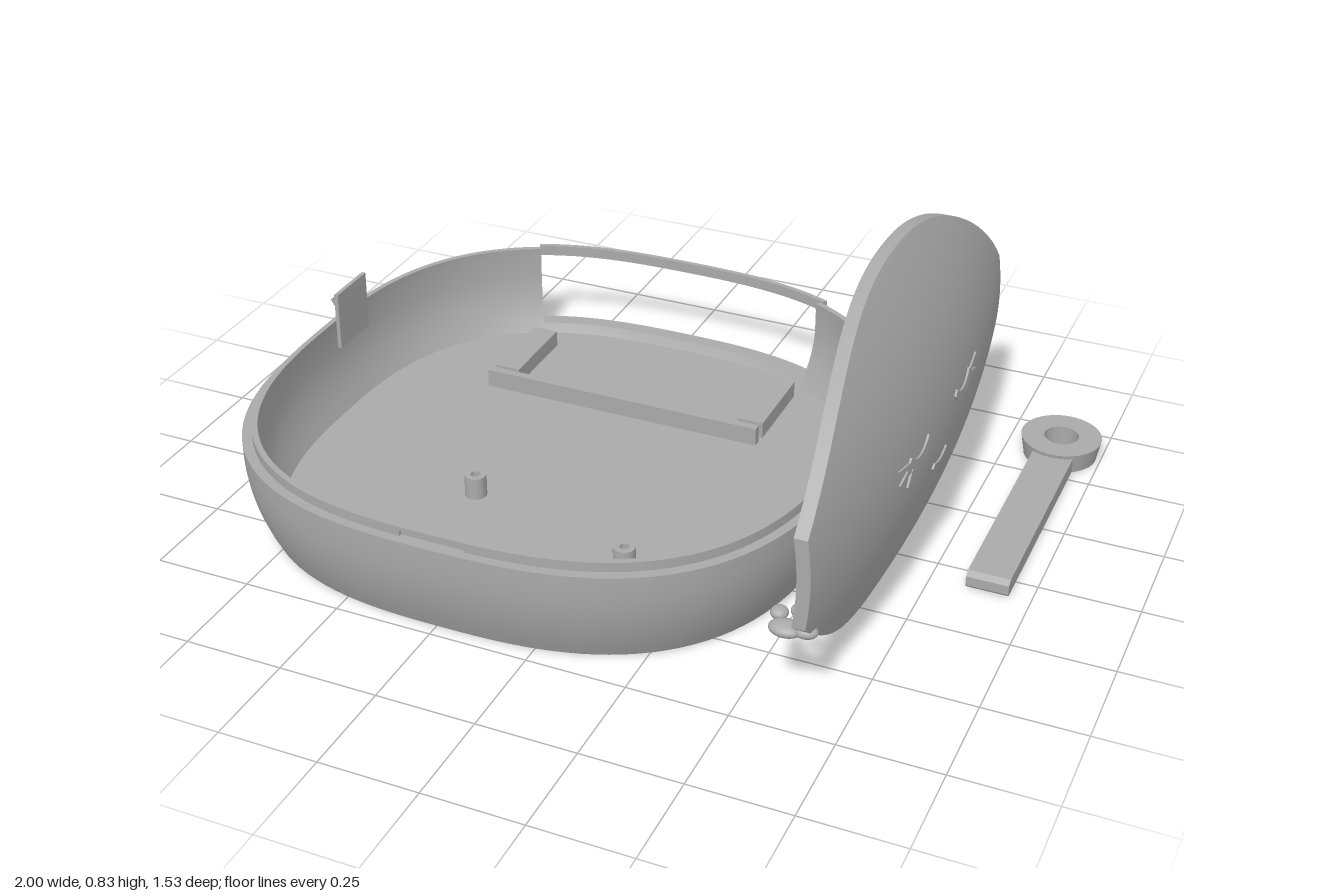
import * as THREE from 'three';
import { mergeGeometries, toCreasedNormals } from 'three/addons/utils/BufferGeometryUtils.js';

const grey = new THREE.MeshStandardMaterial({ color: 0xaaaaaa });
grey.name = 'plain grey';

const TRAY_X = -0.235;
const FLOOR = 0.03;
const RIM = 0.25;
const rad = THREE.MathUtils.degToRad;

function add(parent, name, geometry, x = 0, y = 0, z = 0) {
  const mesh = new THREE.Mesh(geometry, grey);
  mesh.name = name;
  mesh.position.set(x, y, z);
  parent.add(mesh);
  return mesh;
}

// Box given by its minimum and maximum on each axis
function block(parent, name, x0, x1, y0, y1, z0, z1) {
  return add(parent, name, new THREE.BoxGeometry(x1 - x0, y1 - y0, z1 - z0),
    (x0 + x1) / 2, (y0 + y1) / 2, (z0 + z1) / 2);
}

// Rounded-square path: point at polar angle a (degrees), half width r
function squircle(a, r, y) {
  const c = Math.cos(rad(a)), s = Math.sin(rad(a)), n = 2.7;
  const k = r * Math.pow(Math.abs(c) ** n + Math.abs(s) ** n, -1 / n);
  return [c * k, y, s * k];
}

// Sweep a closed (r, y) cross-section from angle a0 to a1, with end caps
function sweep(profile, a0, a1) {
  const pos = [];
  const steps = Math.max(1, Math.ceil((a1 - a0) / 2.5));
  const at = (p, a) => squircle(a, p[0], p[1]);
  for (let j = 0; j < steps; j++) {
    const a = a0 + (a1 - a0) * j / steps, b = a0 + (a1 - a0) * (j + 1) / steps;
    profile.forEach((p, i) => {
      const q = profile[(i + 1) % profile.length];
      pos.push(...at(p, a), ...at(q, a), ...at(p, b));
      pos.push(...at(q, a), ...at(q, b), ...at(p, b));
    });
  }
  const flat = profile.map(p => new THREE.Vector2(p[0], p[1]));
  for (const [i, j, k] of THREE.ShapeUtils.triangulateShape(flat, [])) {
    pos.push(...at(profile[i], a1), ...at(profile[j], a1), ...at(profile[k], a1));
    pos.push(...at(profile[k], a0), ...at(profile[j], a0), ...at(profile[i], a0));
  }
  const g = new THREE.BufferGeometry();
  g.setAttribute('position', new THREE.Float32BufferAttribute(pos, 3));
  return g;
}

// Wall radii by height
const ease = t => 1 - (1 - Math.min(Math.max(t, 0), 1)) ** 2;
const outer = y => 0.715 + 0.05 * ease(y / 0.22);
const inner = y => 0.685 + 0.045 * ease((y - FLOOR) / 0.17);
const ramp = (y0, y1, f) => Array.from({ length: 8 }, (_, i) => {
  const y = y0 + (y1 - y0) * i / 7;
  return [f(y), y];
});
const lip = [[0.742, RIM], [0.742, 0.275], [0.728, 0.275]];
const groovedLip = [[0.734, RIM], [0.734, 0.265], [0.742, 0.265], [0.742, 0.275], [0.728, 0.275]];
const lower = top => [[0, 0], ...ramp(0, top, outer), ...ramp(top, FLOOR, inner), [0, FLOOR]];
const upper = bottom => [...ramp(bottom, RIM, outer), ...lip, ...ramp(RIM, bottom, inner)];
const whole = l => [[0, 0], ...ramp(0, RIM, outer), ...l, ...ramp(RIM, FLOOR, inner), [0, FLOOR]];

function buildTray() {
  const tray = new THREE.Group();
  tray.name = 'tray';
  tray.position.x = TRAY_X;
  const parts = [];

  // Solid wall, pierced by four slots on the left side
  let a = -58;
  for (const z of [-0.2, -0.09, 0.02, 0.13]) {
    const mid = THREE.MathUtils.radToDeg(Math.atan(z / 0.745));
    parts.push(sweep(whole(lip), a, mid - 1.2));
    parts.push(sweep(lower(0.08), mid - 1.2, mid + 1.2), sweep(upper(0.2), mid - 1.2, mid + 1.2));
    a = mid + 1.2;
  }
  // Front with a latch groove, then round to the rear opening
  parts.push(sweep(whole(lip), a, 83.5), sweep(whole(groovedLip), 83.5, 96.5));
  parts.push(sweep(whole(lip), 96.5, 238));
  // Rear opening: low sill and a thin bar along the top
  parts.push(sweep(lower(0.055), 238, 302));
  parts.push(sweep([[0.752, 0.243], [0.765, 0.243], [0.765, 0.272], [0.752, 0.272]], 238, 302));
  add(tray, 'trayShell', toCreasedNormals(mergeGeometries(parts), 0.5));

  // Snap clips on both sides
  for (const s of [-1, 1]) {
    const clip = new THREE.Group();
    clip.name = s < 0 ? 'rightClip' : 'leftClip';
    const plate = add(clip, 'clipPlate', new THREE.BoxGeometry(0.011, 0.16, 0.145), s * 0.715, 0.28, -0.12);
    plate.name = 'clipPlate';
    const hook = add(clip, 'clipHook', new THREE.CylinderGeometry(0.012, 0.012, 0.145, 3), s * 0.721, 0.338, -0.12);
    hook.rotation.x = Math.PI / 2;
    tray.add(clip);
  }

  // Holder on the floor
  for (const s of [-1, 1]) {
    block(tray, 'holderBlock', s * 0.36 - 0.036, s * 0.36 + 0.036, FLOOR, 0.075, -0.57, -0.33);
  }
  block(tray, 'holderRail', -0.397, 0.393, FLOOR, 0.08, -0.31, -0.287);

  // Hollow screw posts
  const post = [[0.012, 0], [0.028, 0], [0.028, 0.06], [0.012, 0.06], [0.012, 0]];
  const postGeo = toCreasedNormals(new THREE.LatheGeometry(post.map(p => new THREE.Vector2(...p)), 24), 0.5);
  for (const [x, z] of [[-0.172, 0.215], [0.307, 0.36], [0.307, 0.62], [-0.182, 0.67]]) {
    add(tray, 'screwPost', postGeo, x, FLOOR, z);
  }
  return tray;
}

// Outer surface of the lid
const lidX = (y, z) => 0.735 - 0.67 * (y - 0.37) ** 2 - 0.124 * z * z;

// Thin raised feature: shape drawn in (-z, y), wrapped on the lid surface
function face(parent, name, shape) {
  const g = new THREE.ExtrudeGeometry(shape, { depth: 0.009, bevelEnabled: false, curveSegments: 16 });
  g.rotateY(Math.PI / 2);
  const p = g.attributes.position;
  for (let i = 0; i < p.count; i++) {
    p.setX(i, p.getX(i) - 0.004 + lidX(p.getY(i), p.getZ(i)));
  }
  add(parent, name, toCreasedNormals(g, 0.5));
}

// Curved band sagging between two ends
function smile(cx, top, half, sag, thick) {
  const s = new THREE.Shape();
  s.moveTo(cx - half, top);
  s.quadraticCurveTo(cx, top - 2 * sag, cx + half, top);
  s.lineTo(cx + half * 0.8, top + thick * 0.6);
  s.quadraticCurveTo(cx, top - 2 * sag + thick * 2, cx - half * 0.8, top + thick * 0.6);
  s.closePath();
  return s;
}

function buildLid() {
  const lid = new THREE.Group();
  lid.name = 'lid';
  // Domed panel made by bending a box to its outline
  const g = new THREE.BoxGeometry(1, 1, 1, 1, 32, 48);
  const p = g.attributes.position;
  for (let i = 0; i < p.count; i++) {
    const t = Math.abs(p.getZ(i)) * 2, z = p.getZ(i) * 1.45;
    const bottom = 0.26 * t ** 2.4, top = 0.83 - 0.34 * t ** 2.2;
    const y = bottom + (top - bottom) * (p.getY(i) + 0.5);
    p.setXYZ(i, lidX(y, z) - (p.getX(i) < 0 ? 0.032 : 0), y, z);
  }
  g.computeVertexNormals();
  add(lid, 'lidPanel', g);

  // Closed eyes with lashes, and a mouth
  for (const s of [-1, 1]) {
    face(lid, 'eyelid', smile(s * 0.17, 0.415, 0.072, 0.04, 0.022));
    for (const [bx, by, tx, ty] of [[0.235, 0.41, 0.303, 0.432], [0.23, 0.402, 0.298, 0.392], [0.215, 0.39, 0.248, 0.36]]) {
      const dx = tx - bx, dy = ty - by, l = Math.hypot(dx, dy);
      const wx = -dy / l * 0.01, wy = dx / l * 0.01;
      face(lid, 'eyelash', new THREE.Shape([[bx + wx, by + wy], [bx - wx, by - wy], [tx, ty]]
        .map(([u, v]) => new THREE.Vector2(s * u, v))));
    }
  }
  face(lid, 'mouth', smile(0, 0.3, 0.057, 0.026, 0.018));

  // Small rounded knobs at the lower front corner
  for (const [x, y, z, rx, ry, rz] of [[0.565, 0.213, 0.62, 0.021, 0.015, 0.022],
    [0.6, 0.217, 0.675, 0.04, 0.017, 0.03], [0.605, 0.22, 0.605, 0.018, 0.015, 0.02],
    [0.645, 0.222, 0.675, 0.03, 0.016, 0.022]]) {
    add(lid, 'knob', new THREE.SphereGeometry(1, 20, 14), x, y, z).scale.set(rx, ry, rz);
  }
  return lid;
}

function buildHandle() {
  const handle = new THREE.Group();
  handle.name = 'handle';
  const ring = [[0.045, 0], [0.095, 0], [0.105, 0.055], [0.045, 0.055], [0.045, 0]];
  add(handle, 'handleRing',
    toCreasedNormals(new THREE.LatheGeometry(ring.map(p => new THREE.Vector2(...p)), 48), 0.5), 0.893, 0, -0.62);
  // Bar with a chamfered free end
  const s = new THREE.Shape([[-0.07, 0.004], [0.54, 0.004], [0.54, 0.045], [-0.06, 0.045], [-0.075, 0.035], [-0.075, 0.01]]
    .map(q => new THREE.Vector2(...q)));
  const g = new THREE.ExtrudeGeometry(s, { depth: 0.106, bevelEnabled: false });
  g.rotateY(Math.PI / 2);
  add(handle, 'handleBar', g, 0.84, 0, 0);
  return handle;
}

export function createModel() {
  const model = new THREE.Group();
  model.name = 'openCase';
  model.add(buildTray(), buildLid(), buildHandle());
  return model;
}
